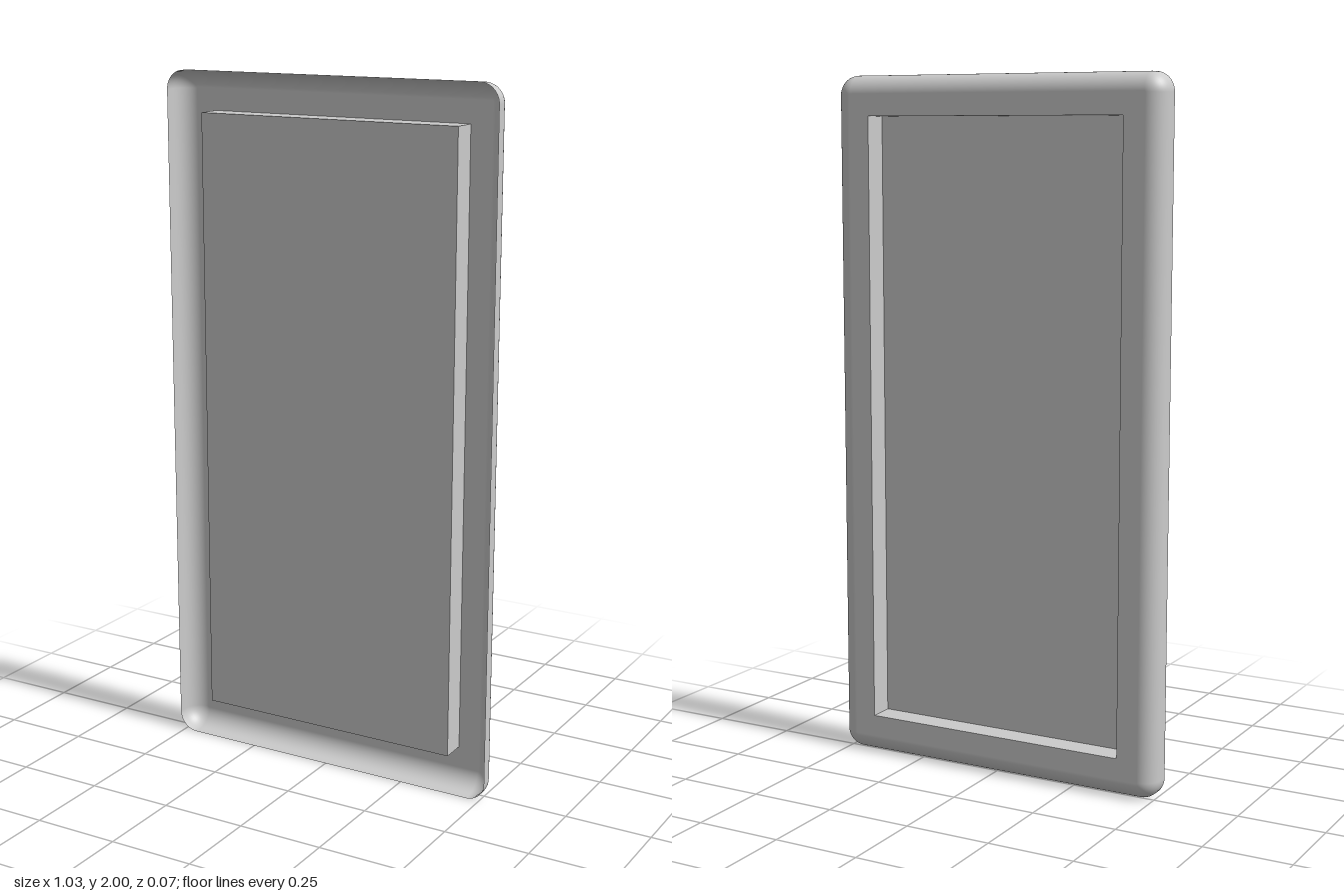
import * as THREE from 'three';

const W = 0.515, H = 1, CORNER = 0.055;       // half width, half height, outline corner radius
const FRONT = 0.037, BACK = -0.037, ROUND = 0.052; // rim plane, back plane, back edge rounding
const PW = 0.4, PH = 0.885;                   // half size of the recessed panel
const SEG = 10;

// points of the rounded outline, each with its outward angle
function outline(inset) {
  const pts = [], r = CORNER - inset;
  [[1, 1], [-1, 1], [-1, -1], [1, -1]].forEach(([sx, sy], q) => {
    for (let i = 0; i <= SEG; i++) {
      const t = (q + i / SEG) * Math.PI / 2;
      pts.push({ x: sx * (W - CORNER) + r * Math.cos(t), y: sy * (H - CORNER) + r * Math.sin(t), t });
    }
  });
  return pts;
}

// rounded side wall, lofted from the open front rim to the flat back
function sideWall() {
  const pos = [], nor = [], idx = [];
  const rings = [{ inset: 0, z: FRONT, a: 0 }];
  for (let i = 0; i <= SEG; i++) {
    const a = i / SEG * Math.PI / 2;
    rings.push({ inset: ROUND * (1 - Math.cos(a)), z: BACK + ROUND * (1 - Math.sin(a)), a });
  }
  const n = 4 * (SEG + 1);
  rings.forEach(({ inset, z, a }, k) => {
    outline(inset).forEach(({ x, y, t }, j) => {
      pos.push(x, y, z);
      nor.push(Math.cos(a) * Math.cos(t), Math.cos(a) * Math.sin(t), -Math.sin(a));
      if (k === 0) return;
      const j2 = (j + 1) % n, p = (k - 1) * n, c = k * n;
      idx.push(p + j, c + j, p + j2, p + j2, c + j, c + j2);
    });
  });
  const g = new THREE.BufferGeometry();
  g.setAttribute('position', new THREE.Float32BufferAttribute(pos, 3));
  g.setAttribute('normal', new THREE.Float32BufferAttribute(nor, 3));
  g.setIndex(idx);
  return g;
}

export function createModel() {
  const group = new THREE.Group();
  const material = new THREE.MeshStandardMaterial({ color: 0xcccccc, side: THREE.DoubleSide });
  const add = (name, geometry, x = 0, y = 0, z = 0) => {
    const mesh = new THREE.Mesh(geometry, material);
    mesh.name = name;
    mesh.position.set(x, y + H, z);
    group.add(mesh);
    return mesh;
  };

  add('roundedSideWall', sideWall());

  // flat back border around the recess, facing -z
  const shape = new THREE.Shape(outline(ROUND).map(p => new THREE.Vector2(p.x, p.y)));
  shape.holes.push(new THREE.Path([[-PW, -PH], [-PW, PH], [PW, PH], [PW, -PH]]
    .map(([x, y]) => new THREE.Vector2(x, y))));
  add('backBorder', new THREE.ShapeGeometry(shape), 0, 0, BACK).rotation.y = Math.PI;

  // panel pushed forward from the back, with its four thin walls
  const depth = FRONT - BACK, mid = (FRONT + BACK) / 2;
  add('recessedPanel', new THREE.PlaneGeometry(2 * PW, 2 * PH), 0, 0, FRONT);
  for (const s of [-1, 1]) {
    add(s > 0 ? 'leftRecessWall' : 'rightRecessWall',
      new THREE.PlaneGeometry(depth, 2 * PH), s * PW, 0, mid).rotation.y = s * Math.PI / 2;
    add(s > 0 ? 'topRecessWall' : 'bottomRecessWall',
      new THREE.PlaneGeometry(2 * PW, depth), 0, s * PH, mid).rotation.x = -s * Math.PI / 2;
  }
  return group;
}
